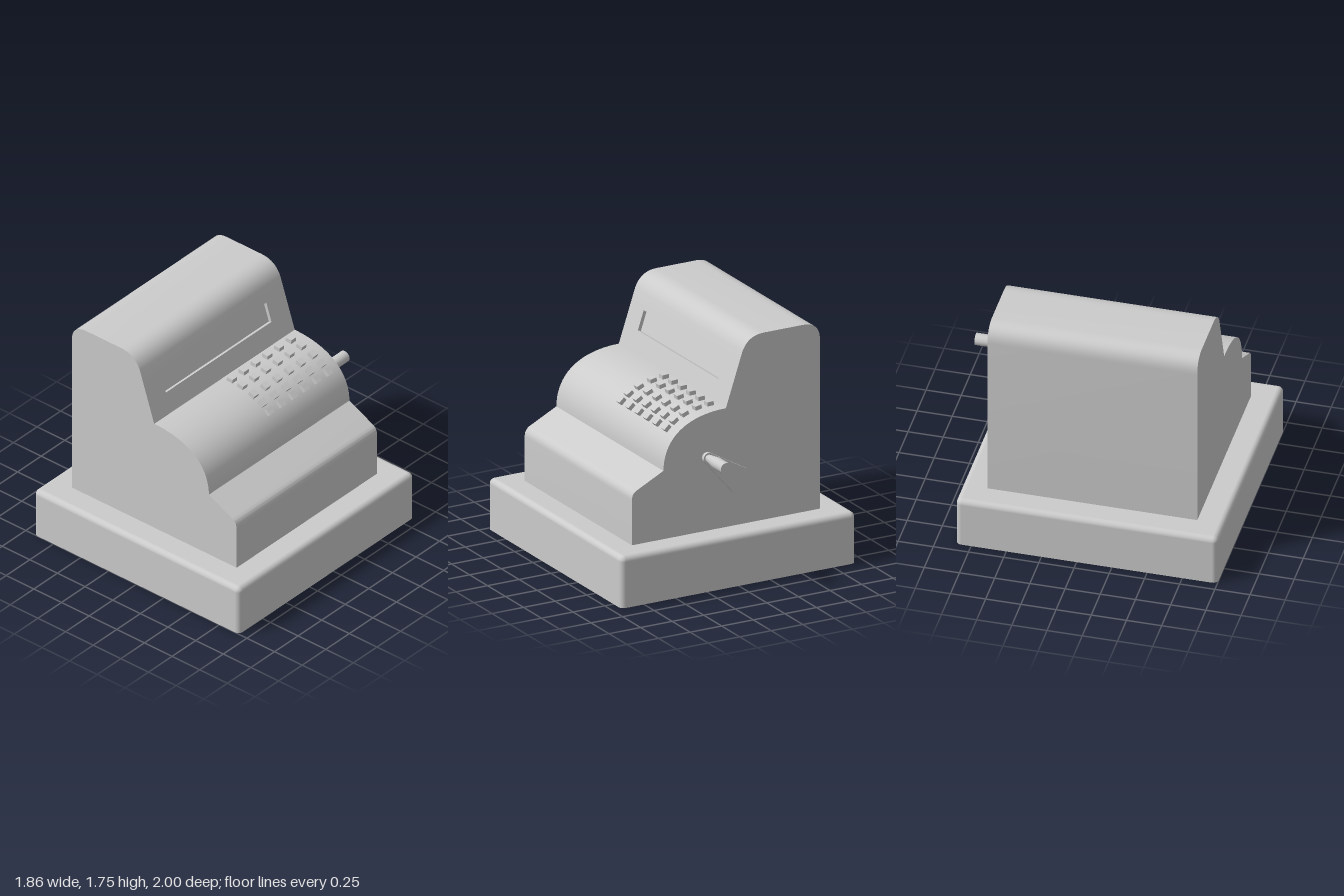
import * as THREE from 'three';
import { mergeGeometries, toCreasedNormals } from 'three/addons/utils/BufferGeometryUtils.js';
import { RoundedBoxGeometry } from 'three/addons/geometries/RoundedBoxGeometry.js';

const V = (x, y) => new THREE.Vector2(x, y);
const solid = new THREE.MeshStandardMaterial({ color: 0xcccccc });
const shell = new THREE.MeshStandardMaterial({ color: 0xcccccc, side: THREE.DoubleSide });

function part(name, geometry, material = solid) {
  const mesh = new THREE.Mesh(geometry, material);
  mesh.name = name;
  return mesh;
}

// Sweeps an open profile along z, facing left of its direction of travel
function strip(pts, z0, z1) {
  const p = [];
  for (let i = 0; i < pts.length - 1; i++) {
    const a = pts[i], b = pts[i + 1];
    p.push(a.x, a.y, z0, a.x, a.y, z1, b.x, b.y, z1);
    p.push(a.x, a.y, z0, b.x, b.y, z1, b.x, b.y, z0);
  }
  return new THREE.BufferGeometry().setAttribute('position', new THREE.Float32BufferAttribute(p, 3));
}

// Flat end panel facing +z, or -z when flipped
function cap(pts, z, flip) {
  const g = new THREE.ShapeGeometry(new THREE.Shape(pts)).translate(0, 0, z);
  if (flip) g.setIndex(Array.from(g.index.array).reverse());
  g.deleteAttribute('uv');
  g.deleteAttribute('normal');
  return g.toNonIndexed();
}

// Drawer base: rounded box cut at the ground and left open below
function baseGeometry() {
  const h = 0.375;
  const box = new RoundedBoxGeometry(1.86, h * 2, 1.86, 4, 0.04);
  const pos = box.attributes.position, nor = box.attributes.normal;
  const p = [], n = [];
  for (let i = 0; i < pos.count; i += 3) {
    const tri = [i, i + 1, i + 2];
    if (tri.every((k) => pos.getY(k) <= 0)) continue;
    for (const k of tri) {
      p.push(pos.getX(k), Math.max(0, pos.getY(k)), pos.getZ(k));
      n.push(nor.getX(k), nor.getY(k), nor.getZ(k));
    }
  }
  const g = new THREE.BufferGeometry();
  g.setAttribute('position', new THREE.Float32BufferAttribute(p, 3));
  g.setAttribute('normal', new THREE.Float32BufferAttribute(n, 3));
  return g.translate(0, 0, 0.07);
}

// Curved key bed
const keyBed = new THREE.CubicBezierCurve(V(0, 1.245), V(0.3, 1.245), V(0.49, 1.12), V(0.495, 0.875));

// Housing: stepped profile with a recessed window in the sloping face
function bodyGeometry() {
  const back = -0.68, front = 0.81, winBack = -0.49, winFront = 0.63;
  const curve = (a, b, c) => new THREE.QuadraticBezierCurve(a, b, c).getPoints(10);
  const upper = [
    V(-0.745, 0.37),
    ...curve(V(-0.745, 1.61), V(-0.745, 1.745), V(-0.61, 1.745)),
    ...curve(V(-0.3, 1.745), V(-0.175, 1.745), V(-0.13, 1.635)),
  ];
  const lower = [
    ...keyBed.getPoints(20),
    ...curve(V(0.705, 0.77), V(0.745, 0.75), V(0.745, 0.7)),
    V(0.745, 0.37),
  ];
  const slope = (y) => V(-(y - 1.245) / 3, y);
  const winTop = slope(1.53), winLow = slope(1.39), inward = V(-0.024, -0.008);
  const recess = [winTop, winTop.clone().add(inward), winLow.clone().add(inward), winLow];
  const outline = [...upper, ...lower];
  const g = mergeGeometries([
    strip([...upper, winTop], back, front),
    strip([winTop, winLow], back, winBack),
    strip([winTop, winLow], winFront, front),
    strip([winLow, ...lower], back, front),
    strip(recess, winBack, winFront),
    cap(recess, winBack, false),
    cap(recess, winFront, true),
    cap(outline, front, false),
    cap(outline, back, true),
  ]);
  return toCreasedNormals(g, 0.4);
}

// Five columns of keys following the key bed, six rows deep
function keys() {
  const group = new THREE.Group();
  group.name = 'keys';
  const geo = new THREE.BoxGeometry(0.05, 0.03, 0.05);
  const columns = [[0.067, 1.259, -0.05], [0.162, 1.248, -0.19], [0.264, 1.22, -0.4], [0.345, 1.182, -0.58], [0.405, 1.14, -0.75]];
  for (const [x, y, tilt] of columns) {
    for (let row = 0; row < 6; row++) {
      const key = part('key', geo);
      key.position.set(x, y, 0.065 - row * 0.125);
      key.rotation.z = tilt;
      group.add(key);
    }
  }
  return group;
}

// Hand crank on the back-facing side panel
function crank() {
  const group = new THREE.Group();
  group.name = 'crank';
  const hub = V(-0.08, 0.72), tip = V(0.18, 0.935), R = 0.095, r = 0.038;
  const shaft = part('crankShaft', new THREE.CylinderGeometry(0.035, 0.035, 0.06, 16).rotateX(Math.PI / 2));
  shaft.position.set(hub.x, hub.y, -0.705);

  // Tapered arm: two round ends joined by their tangents
  const dir = Math.atan2(tip.y - hub.y, tip.x - hub.x);
  const spread = Math.acos((R - r) / hub.distanceTo(tip));
  const shape = new THREE.Shape();
  shape.absarc(hub.x, hub.y, R, dir + spread, dir - spread + Math.PI * 2, false);
  shape.absarc(tip.x, tip.y, r, dir - spread, dir + spread, false);
  const armGeo = new THREE.ExtrudeGeometry(shape, { depth: 0.025, bevelEnabled: false, curveSegments: 8 });
  const arm = part('crankArm', toCreasedNormals(armGeo.translate(0, 0, -0.755), 0.6));

  // Tapered grip
  const profile = [V(0.025, 0.75), V(0.033, 0.8), V(0.043, 0.87), V(0.043, 1), V(0, 1)];
  const gripGeo = new THREE.LatheGeometry(profile, 20).rotateX(-Math.PI / 2);
  const grip = part('crankGrip', toCreasedNormals(gripGeo, 0.6));
  grip.position.set(tip.x, tip.y, 0);

  group.add(shaft, arm, grip);
  return group;
}

export function createModel() {
  const model = new THREE.Group();
  model.name = 'cashRegister';
  model.add(part('drawerBase', baseGeometry(), shell), part('housing', bodyGeometry(), shell), keys(), crank());
  return model;
}
